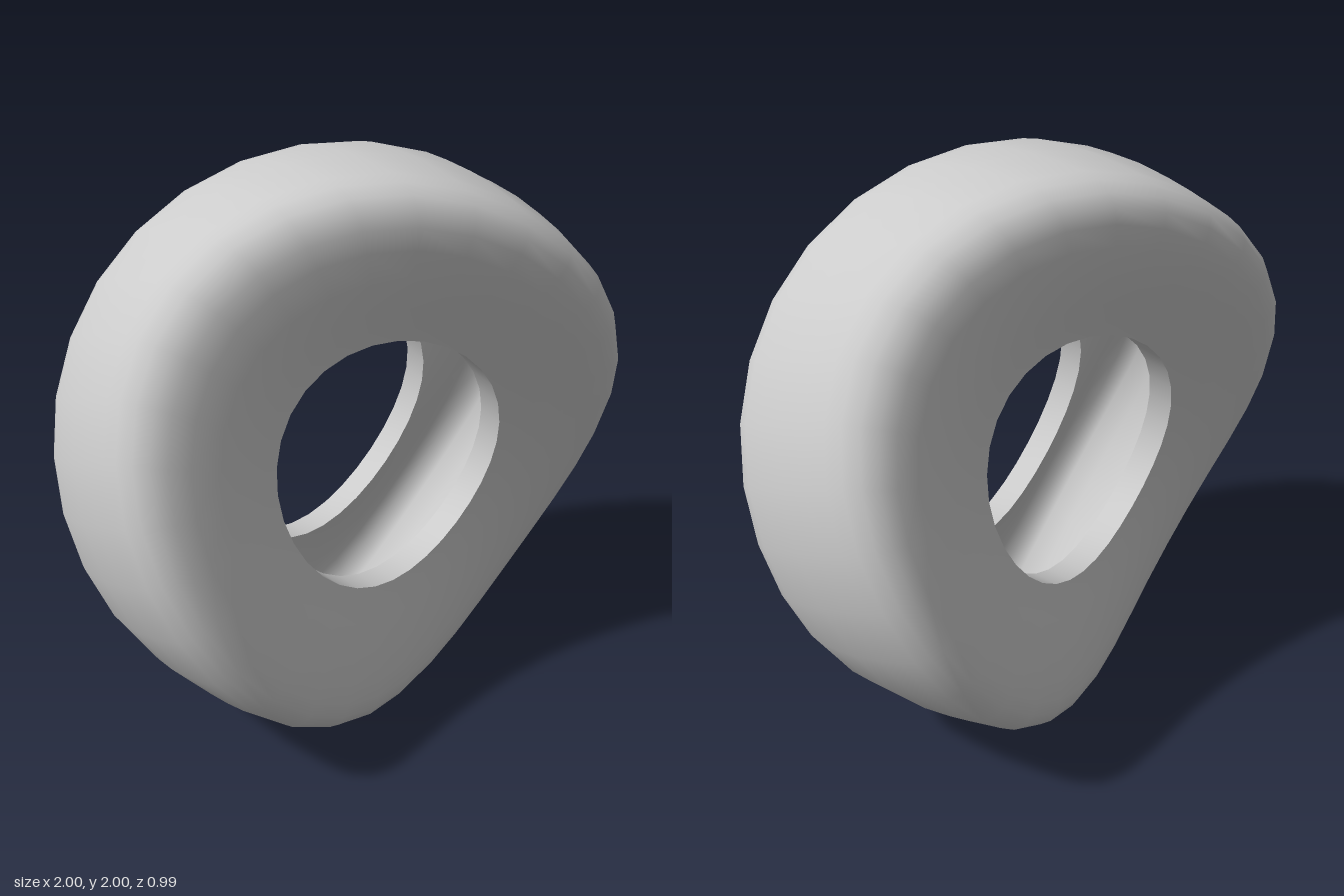
import * as THREE from 'three';
import { mergeVertices } from 'three/addons/utils/BufferGeometryUtils.js';

const SIDES = 32;
const TWIST = Math.PI / 8; // radians per unit along x

// Half profiles as [radius, offset along the axle], from bead to middle
const outerHalf = [[0.46, 0.27], [0.51, 0.283], [0.58, 0.306], [0.68, 0.337], [0.78, 0.356], [0.85, 0.36],
  [0.9, 0.35], [0.94, 0.325], [0.97, 0.28], [0.984, 0.22], [0.994, 0.12], [1, 0]];
const innerHalf = [[0.46, 0.17], [0.52, 0.195], [0.6, 0.222], [0.7, 0.25], [0.78, 0.262], [0.85, 0.24],
  [0.89, 0.18], [0.905, 0.09], [0.91, 0]];

// Mirror a half profile across the middle, running from -offset to +offset
function mirrored(half) {
  const lower = half.map(([r, h]) => new THREE.Vector2(r, -h));
  const upper = half.slice(0, -1).reverse().map(([r, h]) => new THREE.Vector2(r, h));
  return [...lower, ...upper];
}

// Turn each slice about the x axis by an angle that grows with x
function twist(geometry) {
  const p = geometry.attributes.position;
  for (let i = 0; i < p.count; i++) {
    const x = p.getX(i), y = p.getY(i), z = p.getZ(i);
    const c = Math.cos(TWIST * x), s = Math.sin(TWIST * x);
    p.setXYZ(i, x, y * c - z * s, z * c + y * s);
  }
}

export function createModel() {
  const group = new THREE.Group();
  group.name = 'twistedTyre';
  const material = new THREE.MeshStandardMaterial({ color: 0xcccccc, side: THREE.DoubleSide });

  function addRing(name, points) {
    let geometry = new THREE.LatheGeometry(points, SIDES).rotateX(Math.PI / 2);
    geometry.deleteAttribute('uv');
    geometry.deleteAttribute('normal');
    geometry = mergeVertices(geometry, 1e-4); // weld the seam
    twist(geometry);
    geometry.computeVertexNormals();
    const mesh = new THREE.Mesh(geometry, material);
    mesh.name = name;
    mesh.position.y = 1;
    group.add(mesh);
  }

  // Tread with both sidewalls, and the hollow inside
  addRing('treadAndSidewalls', mirrored(outerHalf));
  addRing('innerLining', mirrored(innerHalf).reverse());

  // Flat bead bands around the hole
  const v = (h) => new THREE.Vector2(0.46, h);
  addRing('frontBead', [v(0.27), v(0.17)]);
  addRing('backBead', [v(-0.17), v(-0.27)]);

  return group;
}
